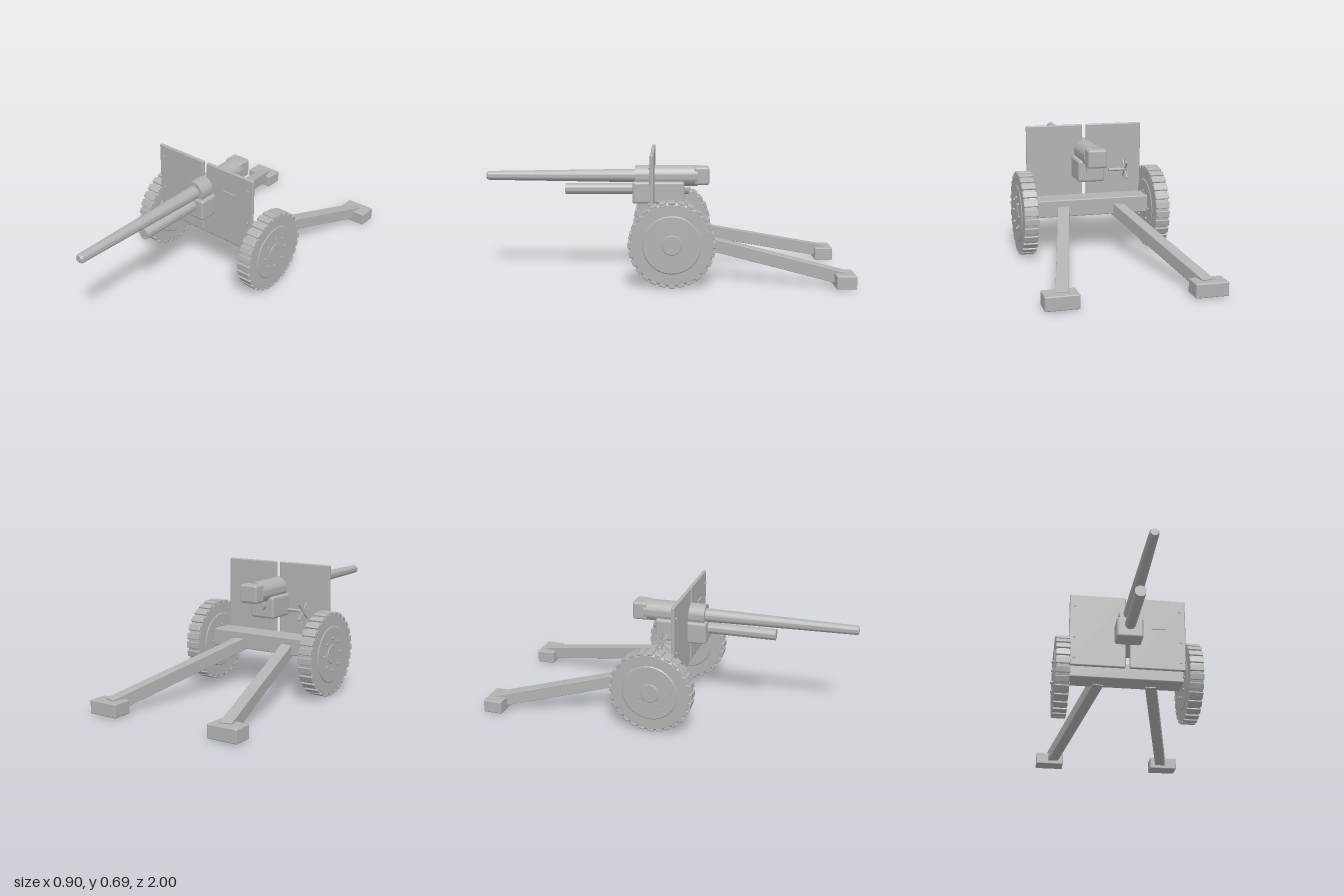
import * as THREE from 'three';
import { RoundedBoxGeometry } from 'three/addons/geometries/RoundedBoxGeometry.js';
import { toCreasedNormals } from 'three/addons/utils/BufferGeometryUtils.js';

const grey = new THREE.MeshStandardMaterial({ color: 0xb2b2b2 });
grey.name = 'paintedSteel';

function add(parent, name, geometry, x = 0, y = 0, z = 0) {
  const mesh = new THREE.Mesh(geometry, grey);
  mesh.name = name;
  mesh.position.set(x, y, z);
  parent.add(mesh);
  return mesh;
}

const box = (w, h, d, r = 0.006) => new RoundedBoxGeometry(w, h, d, 2, r);

// Solid of revolution from [radius, position] points, running along +z or +x
function turned(points, axis, segments = 40) {
  const g = new THREE.LatheGeometry(points.map(([r, t]) => new THREE.Vector2(r, t)), segments);
  if (axis === 'z') g.rotateX(Math.PI / 2);
  else g.rotateZ(-Math.PI / 2);
  return toCreasedNormals(g, 0.5);
}

function makeWheel() {
  const wheel = new THREE.Group();
  wheel.name = 'wheel';
  // Tyre with a slightly raised disc and hub on both faces
  add(wheel, 'tyre', turned([
    [0, -0.045], [0.05, -0.045], [0.053, -0.042], [0.15, -0.042], [0.155, -0.038],
    [0.213, -0.038], [0.222, -0.032], [0.222, 0.032], [0.213, 0.038],
    [0.155, 0.038], [0.15, 0.042], [0.053, 0.042], [0.05, 0.045], [0, 0.045],
  ], 'x', 56));
  // Tread blocks
  const count = 28;
  const block = box(0.078, 0.016, 0.036, 0.004);
  for (let i = 0; i < count; i++) {
    const a = (i / count) * Math.PI * 2;
    const tread = add(wheel, 'treadBlock', block, 0, Math.cos(a) * 0.222, Math.sin(a) * 0.222);
    tread.rotation.x = a;
  }
  // Wheel bolts, passing through to both faces
  const bolt = new THREE.CylinderGeometry(0.008, 0.008, 0.1, 10).rotateZ(Math.PI / 2);
  for (let i = 0; i < 8; i++) {
    const a = (i / 8) * Math.PI * 2;
    add(wheel, 'wheelBolt', bolt, 0, Math.cos(a) * 0.088, Math.sin(a) * 0.088);
  }
  return wheel;
}

export function createModel() {
  const model = new THREE.Group();
  model.name = 'fieldGun';

  // Carriage
  add(model, 'axleBeam', box(0.66, 0.095, 0.136), 0, 0.262, -0.038);

  for (const s of [-1, 1]) {
    const wheel = makeWheel();
    wheel.position.set(s * 0.365, 0.235, -0.036);
    model.add(wheel);

    // Split trail and its foot
    const start = new THREE.Vector3(s * 0.15, 0.243, -0.07);
    const end = new THREE.Vector3(s * 0.357, 0.055, -0.95);
    const trail = add(model, 'trailLeg', box(0.062, 0.07, start.distanceTo(end), 0.003));
    trail.position.copy(start).lerp(end, 0.5);
    trail.lookAt(end);
    add(model, 'trailFoot', box(0.168, 0.072, 0.106), s * 0.365, 0.046, -0.947);

    // Shield half with rivets
    add(model, 'shieldPlate', box(0.32, 0.438, 0.02, 0.007), s * 0.171, 0.481, 0.07);
    const rivet = new THREE.CylinderGeometry(0.008, 0.008, 0.012, 14).rotateX(Math.PI / 2);
    for (const y of [0.31, 0.435, 0.63]) add(model, 'shieldRivet', rivet, s * 0.3, y, 0.081);
  }
  add(model, 'sightFlap', new THREE.BoxGeometry(0.08, 0.07, 0.009), 0.175, 0.543, 0.082);

  // Gun
  add(model, 'barrel', turned([
    [0, 0.1], [0.038, 0.1], [0.037, 0.2], [0.025, 0.99], [0.019, 1], [0, 1],
  ], 'z'));
  add(model, 'barrelSleeve', turned([
    [0, -0.18], [0.06, -0.18], [0.06, 0.168], [0, 0.168],
  ], 'z'), 0, 0, 0);
  for (const name of ['barrel', 'barrelSleeve']) model.getObjectByName(name).position.y = 0.553;
  add(model, 'breechBlock', box(0.108, 0.102, 0.085, 0.014), 0, 0.555, -0.202);
  add(model, 'recoilCylinder', turned([
    [0, -0.13], [0.031, -0.13], [0.031, 0.56], [0, 0.56],
  ], 'z'), 0, 0.479, 0);
  add(model, 'cradle', box(0.15, 0.122, 0.29, 0.014), 0, 0.464, 0.038);

  // Elevation handwheel: shaft and spokes
  const handwheel = new THREE.Group();
  handwheel.name = 'handwheel';
  handwheel.position.set(-0.215, 0.45, -0.023);
  model.add(handwheel);
  add(handwheel, 'handwheelShaft', new THREE.CylinderGeometry(0.009, 0.009, 0.1, 16).rotateZ(Math.PI / 2), 0.045);
  for (let i = 0; i < 4; i++) {
    const spoke = add(handwheel, 'handwheelSpoke', new THREE.BoxGeometry(0.008, 0.124, 0.008));
    spoke.rotation.x = (i / 4) * Math.PI;
  }
  return model;
}
